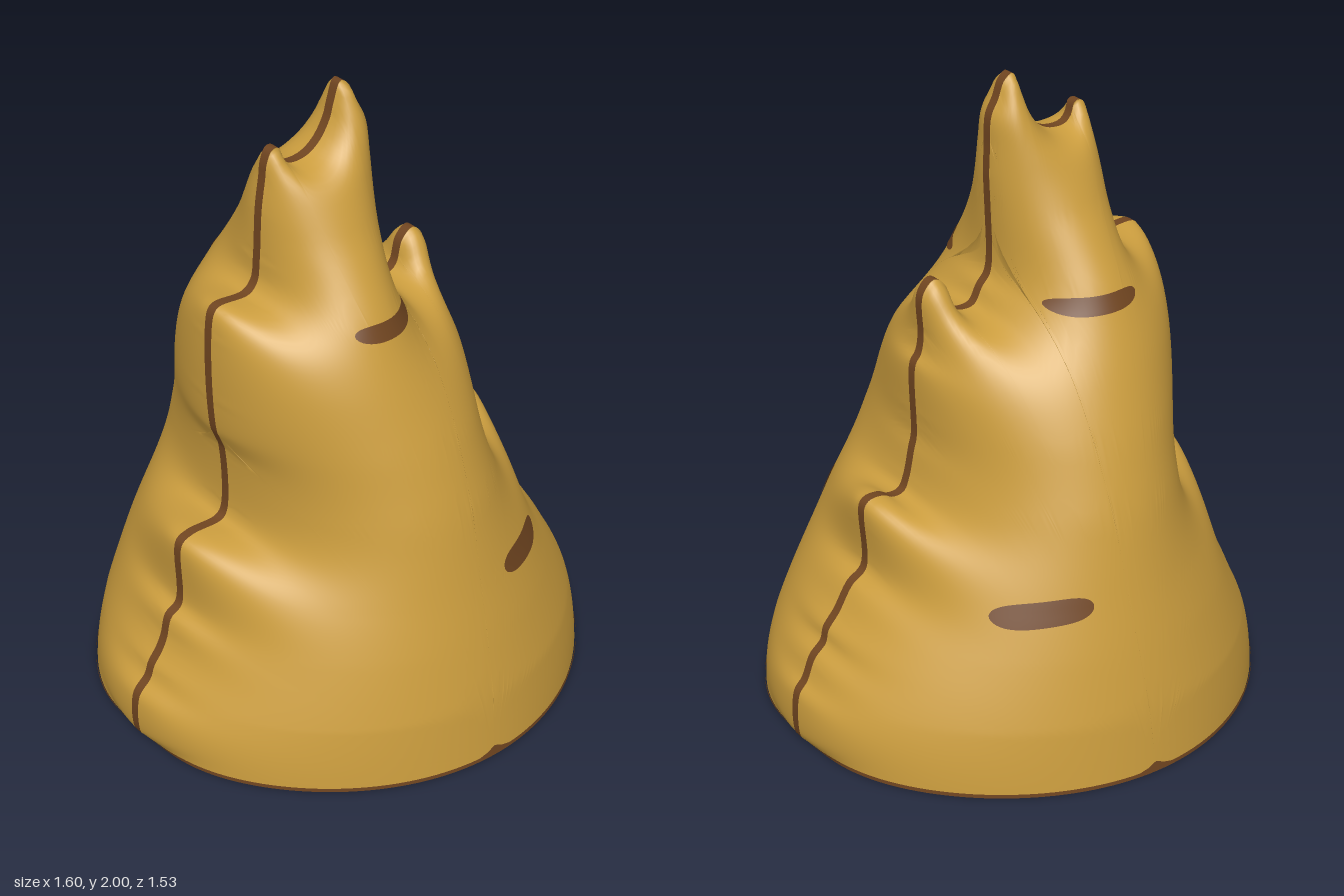
import * as THREE from 'three';

// Stepped outline of the mound, counter-clockwise from the right foot (x, y pairs)
const OUTLINE = [
  .77, 0, .79, .02, .79, .17, .76, .21, .73, .28, .69, .32, .68, .36, .64, .41, .59, .49, .54, .53,
  .54, .74, .52, .76, .47, .76, .44, .745, .40, .75, .38, .79, .36, .88, .35, .92, .35, 1.16, .33, 1.19,
  .32, 1.24, .32, 1.38, .28, 1.42, .24, 1.39, .22, 1.32, .2, 1.3, .14, 1.3, .11, 1.35, .08, 1.39, .08, 1.62,
  .083, 1.7, .08, 1.78, .075, 1.88, .05, 1.93, .03, 1.98, 0, 2, -.025, 1.94, -.04, 1.89, -.08, 1.83, -.13, 1.8,
  -.19, 1.8, -.21, 1.82, -.225, 1.86, -.25, 1.86, -.27, 1.82, -.275, 1.78, -.29, 1.68, -.3, 1.52, -.31, 1.45, -.34, 1.42,
  -.45, 1.42, -.47, 1.4, -.47, 1, -.445, .94, -.44, .7, -.46, .675, -.57, .67, -.61, .65, -.62, .43, -.66, .4,
  -.68, .33, -.7, .29, -.73, .25, -.745, .21, -.79, .16, -.79, .02, -.77, 0,
];
// Half depth of the mound at each height (y, z pairs)
const DEPTH = [0, .76, .2, .737, .4, .69, .55, .65, .8, .59, 1, .52, 1.2, .435, 1.4, .345,
  1.6, .22, 1.7, .17, 1.8, .12, 1.9, .08, 1.95, .055, 2.05, .02];
const SEAM = 0.016;

function smoothOutline() {
  const pts = [];
  for (let i = 0; i < OUTLINE.length; i += 2) pts.push(new THREE.Vector3(OUTLINE[i], OUTLINE[i + 1], 0));
  const curve = new THREE.CatmullRomCurve3(pts, false, 'centripetal');
  curve.arcLengthDivisions = 1200;
  const out = [];
  let last = -1;
  // keep only points that advance round the foot centre
  const spaced = curve.getSpacedPoints(430);
  spaced.forEach((p, i) => {
    const y = i === 0 || i === spaced.length - 1 ? 0 : Math.max(p.y, 0);
    const a = Math.atan2(y, p.x);
    if (a > last + 1e-4) { out.push({ x: p.x, y, a }); last = a; }
  });
  return out;
}

function depthAt(y) {
  for (let i = 2; i < DEPTH.length; i += 2) {
    if (y <= DEPTH[i]) {
      const t = (y - DEPTH[i - 2]) / (DEPTH[i] - DEPTH[i - 2]);
      return DEPTH[i - 1] + (DEPTH[i + 1] - DEPTH[i - 1]) * t;
    }
  }
  return DEPTH[DEPTH.length - 1];
}

// Inflate the outline like a membrane; returns z(x, y) of the front surface
function inflate(rim) {
  const H = 0.01, X0 = -0.84, NX = 169, NY = 207;
  const inside = (x, y) => {
    const a = Math.atan2(Math.max(y, 0), x);
    let lo = 0, hi = rim.length - 1;
    while (hi - lo > 1) {
      const m = (lo + hi) >> 1;
      if (rim[m].a <= a) lo = m; else hi = m;
    }
    const A = rim[lo], B = rim[hi];
    return (B.x - A.x) * (y - A.y) - (B.y - A.y) * (x - A.x) > 0;
  };
  const u = new Float64Array(NX * NY), mask = new Uint8Array(NX * NY);
  for (let j = 0; j < NY - 1; j++) for (let i = 1; i < NX - 1; i++)
    mask[j * NX + i] = inside(X0 + i * H, j * H) ? 1 : 0;

  const cells = [], ghosts = [];
  for (let j = 0; j < NY - 1; j++) for (let i = 1; i < NX - 1; i++) {
    const n = j * NX + i;
    if (!mask[n]) continue;
    const cell = { n, ids: [], w: [], sum: 0 };
    for (const [dx, dy] of [[1, 0], [-1, 0], [0, 1], [0, j ? -1 : 1]]) {
      const m = n + dx + dy * NX;
      let w = 1;
      if (!mask[m]) {
        let lo = 0, hi = 1;
        for (let k = 0; k < 10; k++) {
          const t = (lo + hi) / 2;
          if (inside(X0 + (i + dx * t) * H, (j + dy * t) * H)) lo = t; else hi = t;
        }
        const theta = Math.max(lo, 0.15);
        w = 1 / theta;
        ghosts.push([n, m, theta]);
      } else { cell.ids.push(m); cell.w.push(w); }
      cell.sum += w;
    }
    cells.push(cell);
  }
  for (let it = 0; it < 600; it++) {
    for (const c of cells) {
      let s = 2 * H * H;
      for (let k = 0; k < c.ids.length; k++) s += c.w[k] * u[c.ids[k]];
      u[c.n] += 1.95 * (s / c.sum - u[c.n]);
    }
  }
  // carry the slope just past the edge so the surface closes cleanly
  const count = new Uint8Array(NX * NY);
  for (const [n, m, t] of ghosts) {
    const g = -u[n] * (1 - t) / t;
    u[m] = (u[m] * count[m] + g) / (count[m] + 1);
    count[m]++;
  }
  // match each level to the depth profile
  for (let j = 0; j < NY; j++) {
    let max = 1e-6;
    for (let i = 0; i < NX; i++) max = Math.max(max, u[j * NX + i]);
    const f = THREE.MathUtils.clamp(depthAt(j * H) ** 2 / max, 0.5, 3);
    for (let i = 0; i < NX; i++) u[j * NX + i] *= f;
  }
  return (x, y) => {
    const gx = THREE.MathUtils.clamp((x - X0) / H, 0, NX - 1.001);
    const gy = THREE.MathUtils.clamp(y / H, 0, NY - 1.001);
    const i = Math.floor(gx), j = Math.floor(gy), a = gx - i, b = gy - j, n = j * NX + i;
    const v = (u[n] * (1 - a) + u[n + 1] * a) * (1 - b) + (u[n + NX] * (1 - a) + u[n + NX + 1] * a) * b;
    return Math.max(SEAM, Math.sqrt(Math.max(v, 0)));
  };
}

// Grid surface from fn(i, k) -> [x, y, z]
function sheet(nu, nv, fn, flip) {
  const pos = [], idx = [];
  for (let i = 0; i <= nu; i++) for (let k = 0; k <= nv; k++) pos.push(...fn(i, k));
  for (let i = 0; i < nu; i++) for (let k = 0; k < nv; k++) {
    const a = i * (nv + 1) + k, b = a + 1, d = a + nv + 1, c = d + 1;
    if (flip) idx.push(a, c, b, a, d, c); else idx.push(a, b, c, a, c, d);
  }
  const g = new THREE.BufferGeometry();
  g.setAttribute('position', new THREE.Float32BufferAttribute(pos, 3));
  g.setIndex(idx);
  g.computeVertexNormals();
  return g;
}

export function createModel() {
  const group = new THREE.Group();
  const ochre = new THREE.MeshStandardMaterial({ color: 0xcb9d3e, side: THREE.DoubleSide });
  ochre.name = 'ochre';
  const brown = new THREE.MeshStandardMaterial({ color: 0x704520, side: THREE.DoubleSide });
  brown.name = 'brown';
  const add = (name, geometry, material) => {
    const mesh = new THREE.Mesh(geometry, material);
    mesh.name = name;
    group.add(mesh);
  };

  const rim = smoothOutline();
  const height = inflate(rim);
  const N = rim.length - 1, M = 40;

  for (const side of [1, -1]) {
    const label = side > 0 ? 'front' : 'back';
    // shell half, fanned out from the centre of the foot
    add(label + 'Shell', sheet(N, M, (i, k) => {
      const t = 1 - (1 - k / M) ** 1.7;
      const x = rim[i].x * t, y = rim[i].y * t;
      return [x, y, side * (k === M ? SEAM : height(x, y))];
    }, side < 0), ochre);

    // painted dashes: centre x, centre y, half length, half height, slope
    [[-0.08, 1.37, 0.13, 0.026, -0.06], [0.27, 0.547, 0.13, 0.036, -0.13]].forEach(([cx, cy, len, h, slope], n) => {
      add(label + (n ? 'LowerDash' : 'UpperDash'), sheet(24, 6, (i, k) => {
        const s = -Math.cos(Math.PI * i / 24);
        const x = cx + s * len;
        const y = cy + slope * s * len + h * Math.sqrt(Math.max(0, 1 - s ** 4)) * (1 - k / 3);
        return [x, y, side * (height(x, y) + 0.005)];
      }, side > 0), brown);
    });

    // thin painted line round the foot, with a small rise in the middle
    add(label + 'FootLine', sheet(80, 2, (i, k) => {
      const x = -0.77 * Math.cos(Math.PI * i / 80);
      const y = (0.012 + 0.022 * Math.exp(-((x / 0.03) ** 2))) * (1 - k / 2);
      return [x * 1.004, y, side * (height(x, y) + 0.004)];
    }, side > 0), brown);
  }

  // narrow band joining the two halves along the outline
  add('seamBand', sheet(N, 1, (i, k) => [rim[i].x, rim[i].y, k ? -SEAM : SEAM], false), brown);
  return group;
}
